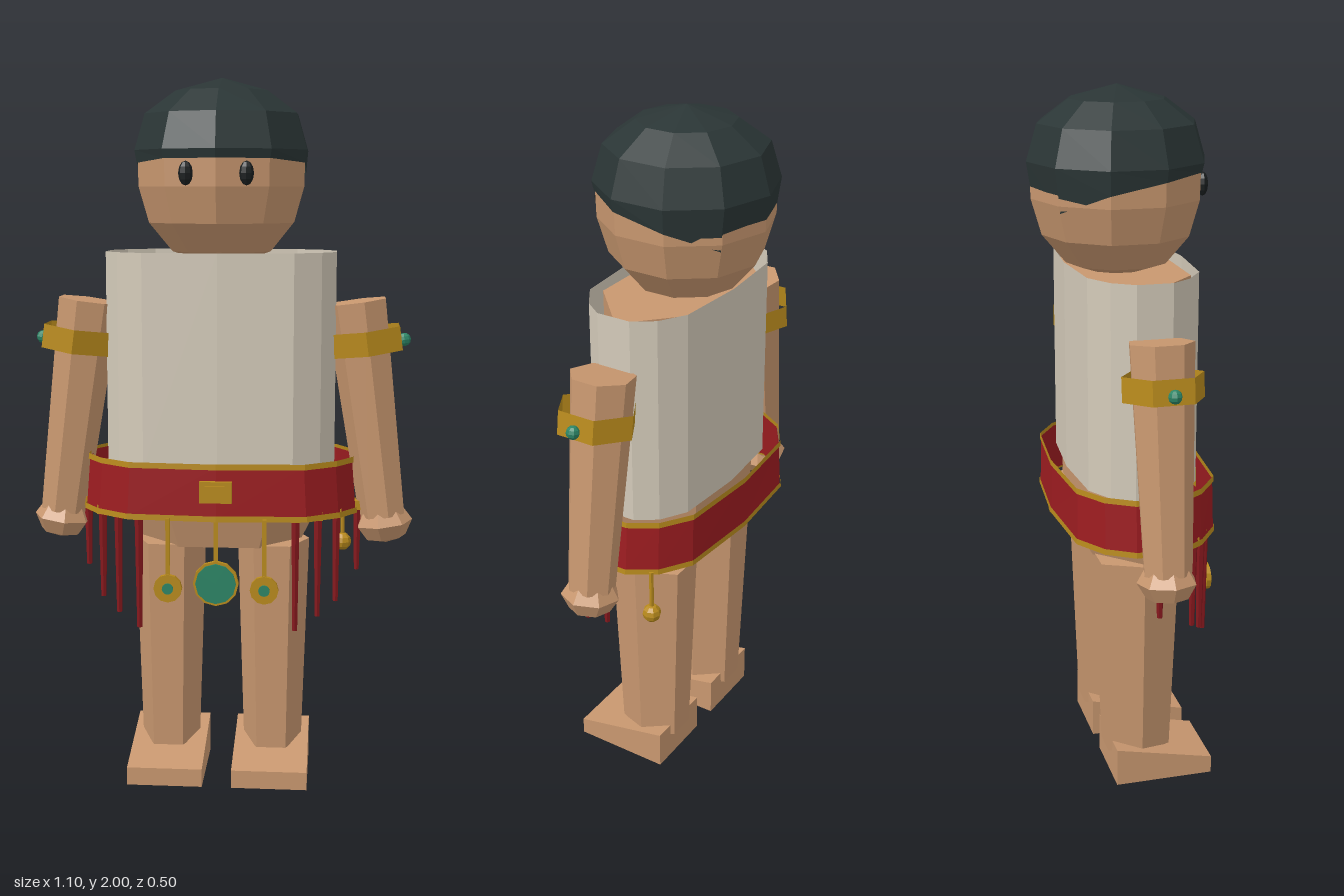
import * as THREE from 'three';

const mat = (name, color, side = THREE.FrontSide) => {
  const m = new THREE.MeshStandardMaterial({ color, side });
  m.name = name;
  return m;
};

export function createModel() {
  const root = new THREE.Group();
  const skin = mat('skin', 0xc8976f);
  const hairMat = mat('hair', 0x2a3535, THREE.DoubleSide);
  const cloth = mat('cloth', 0xd3cab9, THREE.DoubleSide);
  const red = mat('red', 0x9c1c20, THREE.DoubleSide);
  const darkRed = mat('darkRed', 0x86181d);
  const gold = mat('gold', 0xb88a1c, THREE.DoubleSide);
  const teal = mat('teal', 0x2c8566);
  const black = mat('black', 0x1a1e1f);

  // faceted mesh
  const add = (name, geo, material, x = 0, y = 0, z = 0, parent = root) => {
    const g = geo.index ? geo.toNonIndexed() : geo;
    g.computeVertexNormals();
    const mesh = new THREE.Mesh(g, material);
    mesh.name = name;
    mesh.position.set(x, y, z);
    parent.add(mesh);
    return mesh;
  };
  const lathe = (pts, n) => new THREE.LatheGeometry(pts.map(p => new THREE.Vector2(...p)), n);

  // open wall around the body: half outline [x, z], mirrored
  const half = [[0, 0.17], [0.21, 0.155], [0.285, 0.105], [0.325, 0.05],
    [0.325, -0.05], [0.285, -0.11], [0.21, -0.155], [0, -0.17]];
  const outline = [...half, ...half.slice(1, -1).reverse().map(([x, z]) => [-x, z])];
  const wall = (y0, y1, [ax, az], [bx, bz]) => {
    const pos = [], n = outline.length;
    for (let i = 0; i < n; i++) {
      const p = outline[i], q = outline[(i + 1) % n];
      const a = [p[0] * ax, y0, p[1] * az], b = [q[0] * ax, y0, q[1] * az];
      const c = [q[0] * bx, y1, q[1] * bz], d = [p[0] * bx, y1, p[1] * bz];
      pos.push(...a, ...b, ...c, ...a, ...c, ...d);
    }
    const g = new THREE.BufferGeometry();
    g.setAttribute('position', new THREE.Float32BufferAttribute(pos, 3));
    return g;
  };

  // head
  add('head', lathe([[0, 1.47], [0.145, 1.52], [0.212, 1.6], [0.241, 1.7],
    [0.243, 1.78], [0.2, 1.88], [0, 1.95]], 10), skin);

  // hair cap, its rim dropping toward the back
  const hairGeo = lathe([[0.246, 1.77], [0.252, 1.8], [0.222, 1.9], [0.135, 1.963], [0, 2]], 10);
  const hp = hairGeo.attributes.position;
  for (let i = 0; i < hp.count; i++) {
    if (hp.getY(i) > 1.775) continue;
    const z = hp.getZ(i);
    hp.setY(i, z > 0.1 ? 1.775 : z > 0 ? 1.765 : z > -0.1 ? 1.735 : 1.68);
    if (z < -0.1) {
      hp.setX(i, hp.getX(i) * 0.97);
      hp.setZ(i, z * 0.95);
    }
  }
  add('hair', hairGeo, hairMat);

  // torso and pelvis
  const torso = add('torso', new THREE.CylinderGeometry(0.32, 0.31, 0.66, 6, 1, false, Math.PI / 6),
    skin, 0, 1.17, 0.018);
  torso.scale.z = 0.54;
  const pelvis = add('pelvis', new THREE.CylinderGeometry(0.31, 0.23, 0.16, 6, 1, false, Math.PI / 6),
    skin, 0, 0.765, 0.018);
  pelvis.scale.z = 0.6;

  // shirt, belt and belt trims
  add('shirt', wall(0.92, 1.52, [1, 1], [1, 1]), cloth, 0, 0, 0.02);
  add('belt', wall(0.79, 0.935, [1.19, 1.27], [1.155, 1.25]), red, 0, 0, 0.02);
  add('beltTopTrim', wall(0.928, 0.944, [1.17, 1.275], [1.165, 1.27]), gold, 0, 0, 0.02);
  add('beltBottomTrim', wall(0.782, 0.798, [1.205, 1.29], [1.2, 1.285]), gold, 0, 0, 0.02);
  add('buckle', new THREE.BoxGeometry(0.09, 0.06, 0.02), gold, 0, 0.867, 0.238);
  add('bucklePlate', new THREE.BoxGeometry(0.06, 0.036, 0.006), gold, 0, 0.867, 0.25);

  // round pendant: facing +z, with a coloured front
  const pendant = (x, y, r, inner) => {
    add('pendantCord', new THREE.BoxGeometry(0.012, 0.79 - y, 0.01), gold, x, (0.79 + y) / 2, 0.232);
    const disc = (name, rad, h, m, z) => {
      add(name, new THREE.CylinderGeometry(rad, rad, h, 12).rotateX(Math.PI / 2), m, x, y, z);
    };
    disc('pendantDisc', r, 0.014, gold, 0.235);
    disc('pendantInlay', inner, 0.006, teal, 0.244);
  };
  pendant(0, 0.607, 0.064, 0.057);

  // back bell
  add('bellCord', new THREE.CylinderGeometry(0.007, 0.007, 0.13, 6), gold, 0.352, 0.725, -0.105);
  add('bell', new THREE.SphereGeometry(0.027, 8, 6), gold, 0.352, 0.652, -0.105);

  for (const s of [1, -1]) {
    // eyes
    const eye = add('eye', new THREE.SphereGeometry(0.02, 8, 6), black, s * 0.082, 1.735, 0.221);
    eye.scale.set(1, 1.65, 0.8);

    pendant(s * 0.135, 0.59, 0.04, 0.016);

    // fringe: x, z, lower end
    for (const [x, z, y] of [[0.22, 0.2, 0.465], [0.282, 0.17, 0.5], [0.333, 0.132, 0.535], [0.393, 0.02, 0.6]]) {
      add('tassel', new THREE.CylinderGeometry(0.013, 0.008, 0.79 - y, 6), darkRed, s * x, (0.79 + y) / 2, z);
      add('tasselBead', new THREE.BoxGeometry(0.028, 0.026, 0.028), gold, s * x, 0.792, z);
    }

    // leg
    const leg = add('leg', new THREE.CylinderGeometry(0.104, 0.085, 0.61, 6, 1, false, Math.PI / 6),
      skin, s * 0.151, 0.385, 0.018);
    leg.scale.z = 1.27;

    // wedge foot
    const footGeo = new THREE.BoxGeometry(0.216, 0.115, 0.29).translate(0, 0.0575, 0);
    const fp = footGeo.attributes.position;
    for (let i = 0; i < fp.count; i++) if (fp.getY(i) > 0.1 && fp.getZ(i) > 0) fp.setY(i, 0.052);
    add('foot', footGeo, skin, s * 0.15, 0, 0.08);

    // arm, hung from the shoulder and leaning outward
    const arm = new THREE.Group();
    arm.name = s > 0 ? 'leftArm' : 'rightArm';
    arm.position.set(s * 0.383, 1.38, 0.018);
    arm.rotation.z = s * 0.135;
    root.add(arm);
    const start = s * Math.PI / 2 + Math.PI / 7;
    add('armLimb', new THREE.CylinderGeometry(0.09, 0.068, 0.62, 7, 1, false, start), skin, 0, -0.31, 0, arm);
    const hand = add('hand', new THREE.SphereGeometry(0.083, 7, 4), skin, 0, -0.645, 0, arm);
    hand.scale.y = 0.72;
    hand.rotation.y = s > 0 ? Math.PI : 0;
    add('armband', new THREE.CylinderGeometry(0.112, 0.112, 0.068, 6, 1, true), gold, s * 0.014, -0.115, 0, arm);
    add('armbandGem', new THREE.SphereGeometry(0.019, 8, 6), teal, s * 0.12, -0.125, 0, arm);
  }
  return root;
}
